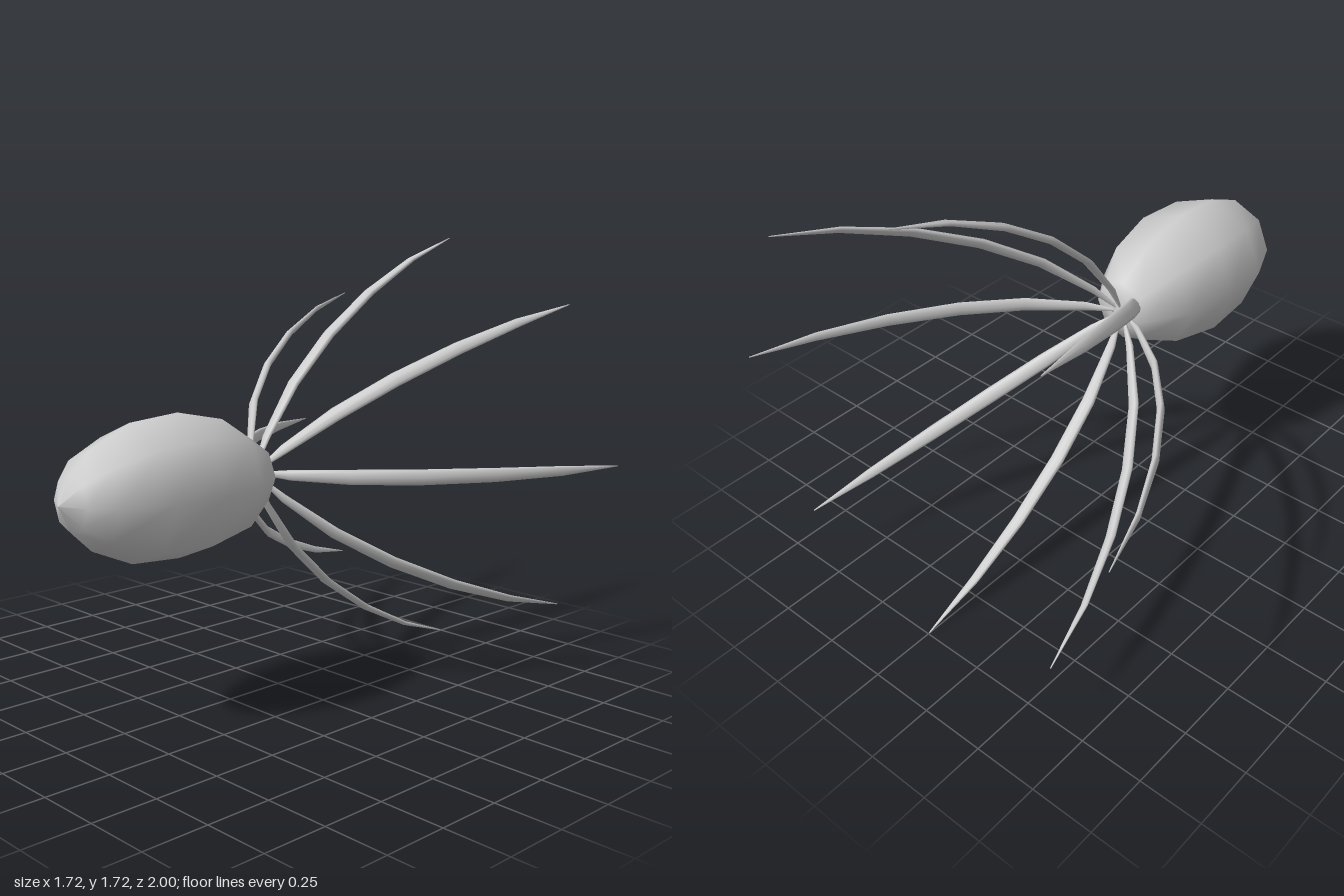
import * as THREE from 'three';

const material = new THREE.MeshStandardMaterial({ color: 0xcccccc });
const CENTRE_Y = 0.865;

// Eight-sided rounded body turned about the z axis: [radius, z]
function makeBody() {
  const profile = [
    [0, 0.105], [0.06, 0.11], [0.125, 0.13], [0.22, 0.28], [0.265, 0.49],
    [0.25, 0.7], [0.175, 0.87], [0.1, 0.95], [0, 1],
  ].map(([r, z]) => new THREE.Vector2(r, z));
  const body = new THREE.Mesh(new THREE.LatheGeometry(profile, 8).rotateX(Math.PI / 2), material);
  body.name = 'body';
  return body;
}

// Flattened, curved tentacle lying in the xz plane
function makeTentacleGeometry() {
  // [distance from axis, z, half width, half thickness]
  const rings = [
    [0.01, 0.12, 0.004, 0.004], [0.13, 0.06, 0.02, 0.01], [0.32, -0.08, 0.029, 0.013],
    [0.495, -0.27, 0.03, 0.014], [0.65, -0.5, 0.027, 0.013], [0.775, -0.75, 0.019, 0.009],
    [0.86, -0.995, 0.002, 0.002],
  ];
  const sides = 8;
  const positions = [];
  const index = [];
  rings.forEach(([r, z, width, thick], i) => {
    const before = rings[Math.max(i - 1, 0)];
    const after = rings[Math.min(i + 1, rings.length - 1)];
    const tangent = new THREE.Vector2(after[0] - before[0], after[1] - before[1]).normalize();
    for (let j = 0; j < sides; j++) {
      const a = (j / sides) * Math.PI * 2;
      const offset = thick * Math.cos(a);
      positions.push(r - tangent.y * offset, -width * Math.sin(a), z + tangent.x * offset);
      if (i === rings.length - 1) continue;
      const p = i * sides + j;
      const q = i * sides + ((j + 1) % sides);
      index.push(p, q, p + sides, q, q + sides, p + sides);
    }
  });
  // End caps
  const last = (rings.length - 1) * sides;
  for (let j = 1; j < sides - 1; j++) {
    index.push(0, j + 1, j, last, last + j, last + j + 1);
  }
  const geometry = new THREE.BufferGeometry();
  geometry.setAttribute('position', new THREE.Float32BufferAttribute(positions, 3));
  geometry.setIndex(index);
  geometry.computeVertexNormals();
  return geometry;
}

export function createModel() {
  const model = new THREE.Group();
  model.name = 'tentacledCreature';
  const body = makeBody();
  body.position.y = CENTRE_Y;
  model.add(body);

  // Eight tentacles fanned around the rear of the body
  const tentacleGeometry = makeTentacleGeometry();
  for (let i = 0; i < 8; i++) {
    const tentacle = new THREE.Mesh(tentacleGeometry, material);
    tentacle.name = `tentacle${i + 1}`;
    tentacle.position.y = CENTRE_Y;
    tentacle.rotation.z = (i * Math.PI) / 4;
    model.add(tentacle);
  }
  return model;
}
